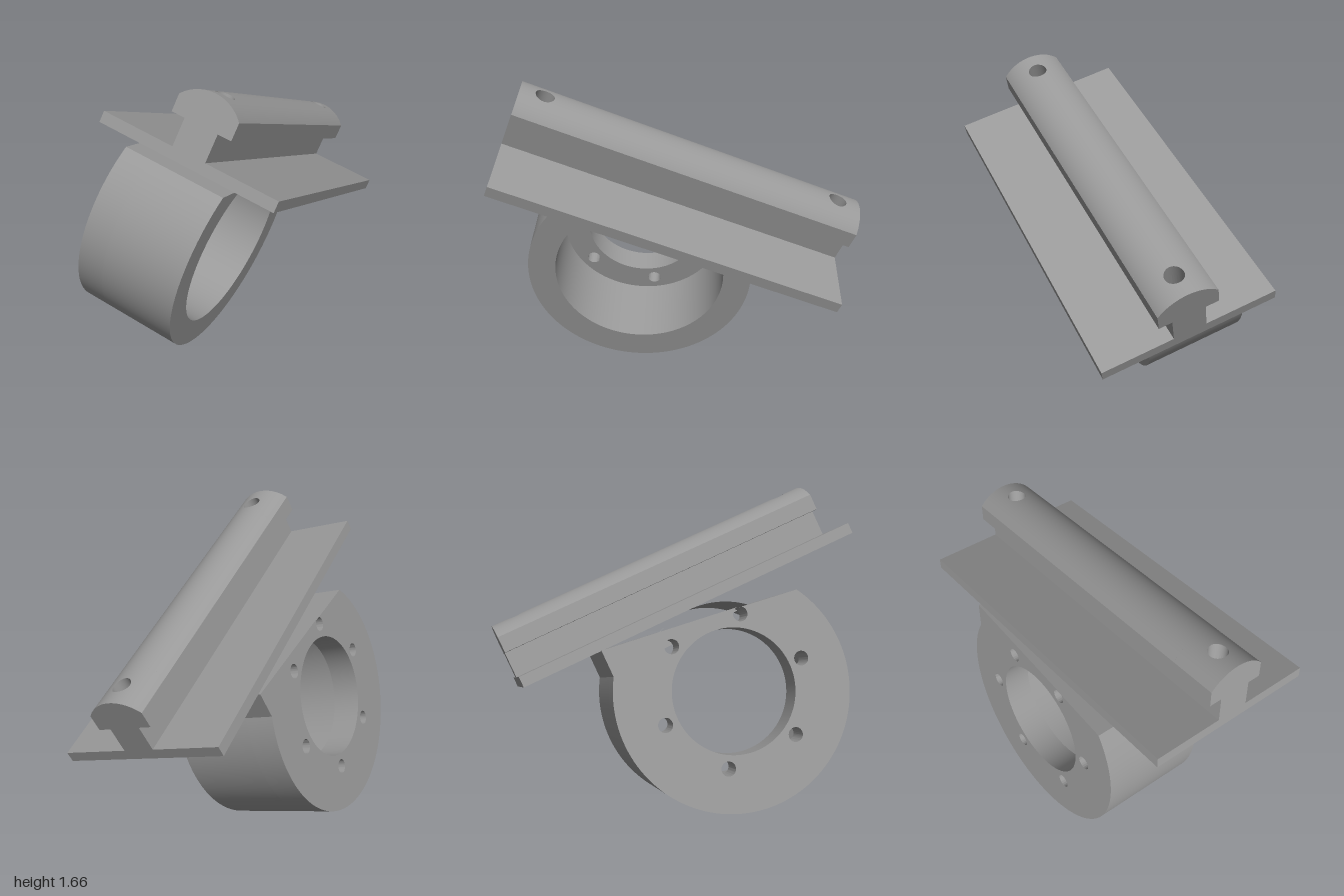
import * as THREE from 'three';
import { toCreasedNormals } from 'three/addons/utils/BufferGeometryUtils.js';
import { ParametricGeometry } from 'three/addons/geometries/ParametricGeometry.js';

const HALF = 0.915;       // half length of plate and rail
const HOLE_Z = 0.79;      // screw hole distance from the middle
const HOLE_R = 0.048;
const HEAD_W = 0.153;     // half width of rail head
const HEAD_Y = 0.735;     // where the rounded top starts
const ARC_R = 0.202, ARC_Y = 0.603;

const arcHeight = (x) => ARC_Y + Math.sqrt(ARC_R * ARC_R - x * x);

function addHole(shape, x, y, r) {
  const path = new THREE.Path();
  path.absarc(x, y, r, 0, Math.PI * 2, true);
  shape.holes.push(path);
}

function extrude(shape, depth) {
  const geo = new THREE.ExtrudeGeometry(shape, { depth, bevelEnabled: false, curveSegments: 72 });
  return toCreasedNormals(geo, 0.5);
}

export function createModel() {
  const model = new THREE.Group();
  model.name = 'railMount';
  const grey = new THREE.MeshStandardMaterial({ color: 0x999999 });
  grey.name = 'grey';

  // Tilted frame: x along the ring axis, y towards the rail, z along the rail
  const tilted = new THREE.Group();
  tilted.name = 'tiltedMount';
  const w = new THREE.Vector3(0.844, -0.274, 0.46).normalize();
  const u = new THREE.Vector3(0.402, 0.891, -0.208);
  u.addScaledVector(w, -u.dot(w)).normalize();
  const l = new THREE.Vector3().crossVectors(w, u);
  tilted.quaternion.setFromRotationMatrix(new THREE.Matrix4().makeBasis(w, u, l));
  tilted.position.set(-0.015, 0.58, 0.15);
  model.add(tilted);

  const add = (parent, name, geo) => {
    const mesh = new THREE.Mesh(geo, grey);
    mesh.name = name;
    parent.add(mesh);
    return mesh;
  };

  // Ring outline with a straight-sided neck up to the plate
  const ringShape = () => {
    const s = new THREE.Shape();
    const a = Math.atan2(0.32, 0.51);
    s.moveTo(-0.51, 0.46);
    s.absarc(0, 0, 0.603, Math.PI - a, Math.PI * 2 + a, false);
    s.lineTo(0.51, 0.46);
    s.closePath();
    return s;
  };

  // Deep barrel
  const barrel = ringShape();
  addHole(barrel, 0, 0, 0.455);
  add(tilted, 'barrel', extrude(barrel, 0.418).rotateY(Math.PI / 2).translate(-0.418, 0, 0));

  // Flange with centre opening and six bolt holes
  const flange = ringShape();
  addHole(flange, 0, 0, 0.315);
  for (let i = 0; i < 6; i++) {
    const a = (i * Math.PI) / 3;
    addHole(flange, 0.383 * Math.cos(a), 0.383 * Math.sin(a), 0.037);
  }
  add(tilted, 'flange', extrude(flange, 0.147).rotateY(Math.PI / 2).translate(-0.565, 0, 0));

  const rail = new THREE.Group();
  rail.name = 'railAssembly';
  rail.position.x = -0.097;
  tilted.add(rail);

  // Plate, web and head are drilled slabs stacked on each other
  const slab = (name, halfWidth, y0, y1) => {
    const s = new THREE.Shape();
    s.moveTo(-halfWidth, -HALF);
    s.lineTo(halfWidth, -HALF);
    s.lineTo(halfWidth, HALF);
    s.lineTo(-halfWidth, HALF);
    s.closePath();
    for (const side of [-1, 1]) addHole(s, 0, side * HOLE_Z, HOLE_R);
    add(rail, name, extrude(s, y1 - y0).rotateX(-Math.PI / 2).translate(0, y0, 0));
  };
  slab('plate', 0.454, 0.458, 0.513);
  slab('railWeb', 0.085, 0.513, 0.65);
  slab('railHead', HEAD_W, 0.65, HEAD_Y);

  // Rounded top between the holes
  const patchHalf = HALF - HOLE_Z;
  const mid = HOLE_Z - patchHalf;
  add(rail, 'railTop', new ParametricGeometry((s, t, p) => {
    const x = (t * 2 - 1) * HEAD_W;
    p.set(x, arcHeight(x), (s * 2 - 1) * mid);
  }, 1, 32));

  const a0 = Math.atan2(HEAD_Y - ARC_Y, HEAD_W);
  for (const side of [-1, 1]) {
    // Rounded top around a hole, from circle to rectangle
    add(rail, 'railTopAroundHole', new ParametricGeometry((s, t, p) => {
      const c = Math.cos(s * Math.PI * 2), d = Math.sin(s * Math.PI * 2);
      const k = 1 / Math.max(Math.abs(c), Math.abs(d));
      const x = THREE.MathUtils.lerp(HOLE_R * c, HEAD_W * k * c, t);
      const z = THREE.MathUtils.lerp(HOLE_R * d, patchHalf * k * d, t);
      p.set(x, arcHeight(THREE.MathUtils.clamp(x, -HEAD_W, HEAD_W)), side * HOLE_Z + z);
    }, 72, 10));

    // Upper wall of the hole
    add(rail, 'holeWall', new ParametricGeometry((s, t, p) => {
      const x = HOLE_R * Math.cos(s * Math.PI * 2), z = HOLE_R * Math.sin(s * Math.PI * 2);
      p.set(x, THREE.MathUtils.lerp(HEAD_Y, arcHeight(x), t), side * HOLE_Z + z);
    }, 72, 1));

    // End face of the rounded top
    const cap = new THREE.Shape();
    cap.absarc(0, ARC_Y, ARC_R, a0, Math.PI - a0, false);
    const end = add(rail, 'railTopEnd', new THREE.ShapeGeometry(cap, 32));
    end.position.z = side * HALF;
    if (side < 0) end.rotation.y = Math.PI;
  }
  return model;
}
